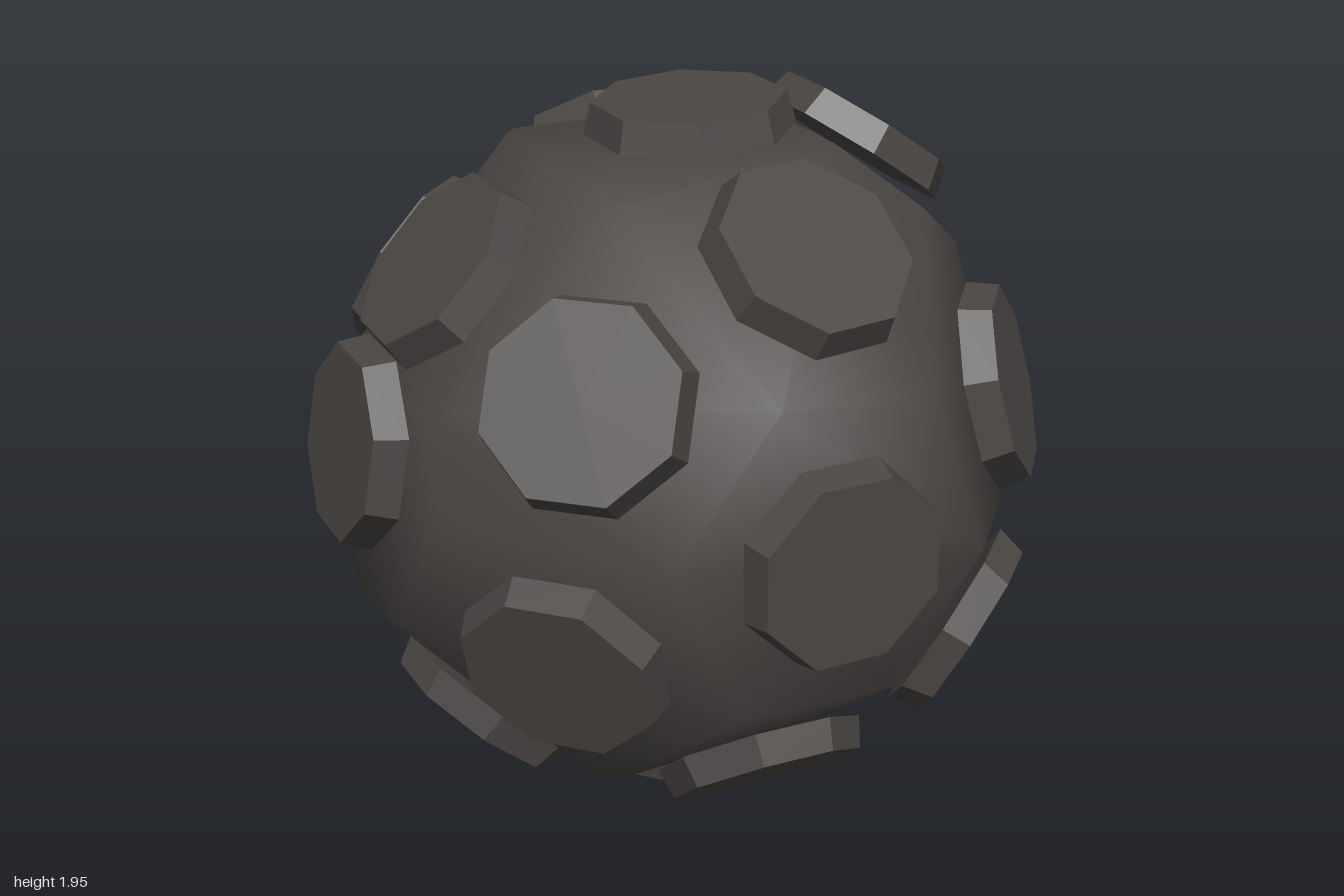
import * as THREE from 'three';
import { mergeVertices } from 'three/addons/utils/BufferGeometryUtils.js';
import { ConvexGeometry } from 'three/addons/geometries/ConvexGeometry.js';

const CENTRE_Y = 0.97;
const THICK = 0.085;

// Pad centres relative to the middle of the ball
const RING = [ // around the x-y plane
  [0.95, 0, -0.01], [0.56, 0.8, 0.01], [0.04, 0.925, 0], [-0.66, 0.605, -0.02],
  [-0.92, 0.17, -0.02], [-0.6, -0.68, 0], [-0.02, -0.92, 0], [0.73, -0.585, 0.02],
];
const FRONT = [ // front half, repeated on the back
  [0.065, 0.71, 0.585], [-0.545, 0.43, 0.58], [0.665, 0.25, 0.575],
  [-0.63, -0.26, 0.6], [0.56, -0.43, 0.6], [-0.04, -0.7, 0.585],
];

function padLayout() {
  const back = FRONT.map(([x, y, z]) => [x + 0.015, y, -z + 0.02]);
  const pads = [...RING, ...FRONT, ...back].map((p) => {
    const pos = new THREE.Vector3(...p);
    return { pos, normal: pos.clone().normalize() };
  });
  // front and back poles; some pads lean slightly off the radial direction
  pads.push({ pos: new THREE.Vector3(-0.01, 0.02, 0.915), normal: new THREE.Vector3(-0.02, 0.01, 1).normalize() });
  pads.push({ pos: new THREE.Vector3(0.05, 0.02, -0.905), normal: new THREE.Vector3(0.2, 0, -1).normalize() });
  pads[0].normal.set(1, 0.05, 0).normalize();
  pads[2].normal.set(-0.05, 1, 0).normalize();
  pads[6].normal.set(-0.04, -1, 0).normalize();
  return pads;
}

// Faceted ball: the solid bounded by a plane beneath every pad
function ballGeometry(pads) {
  const planes = pads.map(({ pos, normal }) => ({ n: normal, d: pos.dot(normal) - THICK * 0.68 }));
  const points = [];
  const m = new THREE.Matrix3();
  for (let i = 0; i < planes.length; i++)
    for (let j = i + 1; j < planes.length; j++)
      for (let k = j + 1; k < planes.length; k++) {
        const [a, b, c] = [planes[i], planes[j], planes[k]];
        m.set(a.n.x, a.n.y, a.n.z, b.n.x, b.n.y, b.n.z, c.n.x, c.n.y, c.n.z);
        if (Math.abs(m.determinant()) < 1e-3) continue;
        const p = new THREE.Vector3(a.d, b.d, c.d).applyMatrix3(m.invert());
        if (planes.every((q) => q.n.dot(p) < q.d + 1e-5)) points.push(p.clampLength(0, 0.96));
      }
  let geo = new ConvexGeometry(points);
  geo.deleteAttribute('normal');
  geo = mergeVertices(geo, 1e-4);
  // round shading: normals point away from the middle
  const normals = geo.attributes.position.clone();
  const v = new THREE.Vector3();
  for (let i = 0; i < normals.count; i++) {
    v.fromBufferAttribute(normals, i).normalize();
    normals.setXYZ(i, v.x, v.y, v.z);
  }
  geo.setAttribute('normal', normals);
  return geo;
}

// Eight-sided pad with tapered rim, facing +z
function padGeometry() {
  const geo = new THREE.CylinderGeometry(0.258, 0.28, THICK, 8, 1, false, Math.PI / 8).toNonIndexed();
  geo.computeVertexNormals();
  return geo.rotateX(Math.PI / 2);
}

export function createModel() {
  const model = new THREE.Group();
  model.name = 'paddedBall';
  const rubber = new THREE.MeshStandardMaterial({ color: 0x4a4644 });
  rubber.name = 'dark grey rubber';

  const pads = padLayout();
  const body = new THREE.Group();
  body.name = 'ball';
  body.position.y = CENTRE_Y;
  model.add(body);

  const core = new THREE.Mesh(ballGeometry(pads), rubber);
  core.name = 'core';
  body.add(core);

  const padGeo = padGeometry();
  pads.forEach(({ pos, normal }, i) => {
    const pad = new THREE.Mesh(padGeo, rubber);
    pad.name = `pad${i + 1}`;
    if (Math.abs(normal.y) > 0.95) pad.up.set(0, 0, 1);
    pad.lookAt(normal);
    pad.position.copy(pos);
    body.add(pad);
  });
  return model;
}
